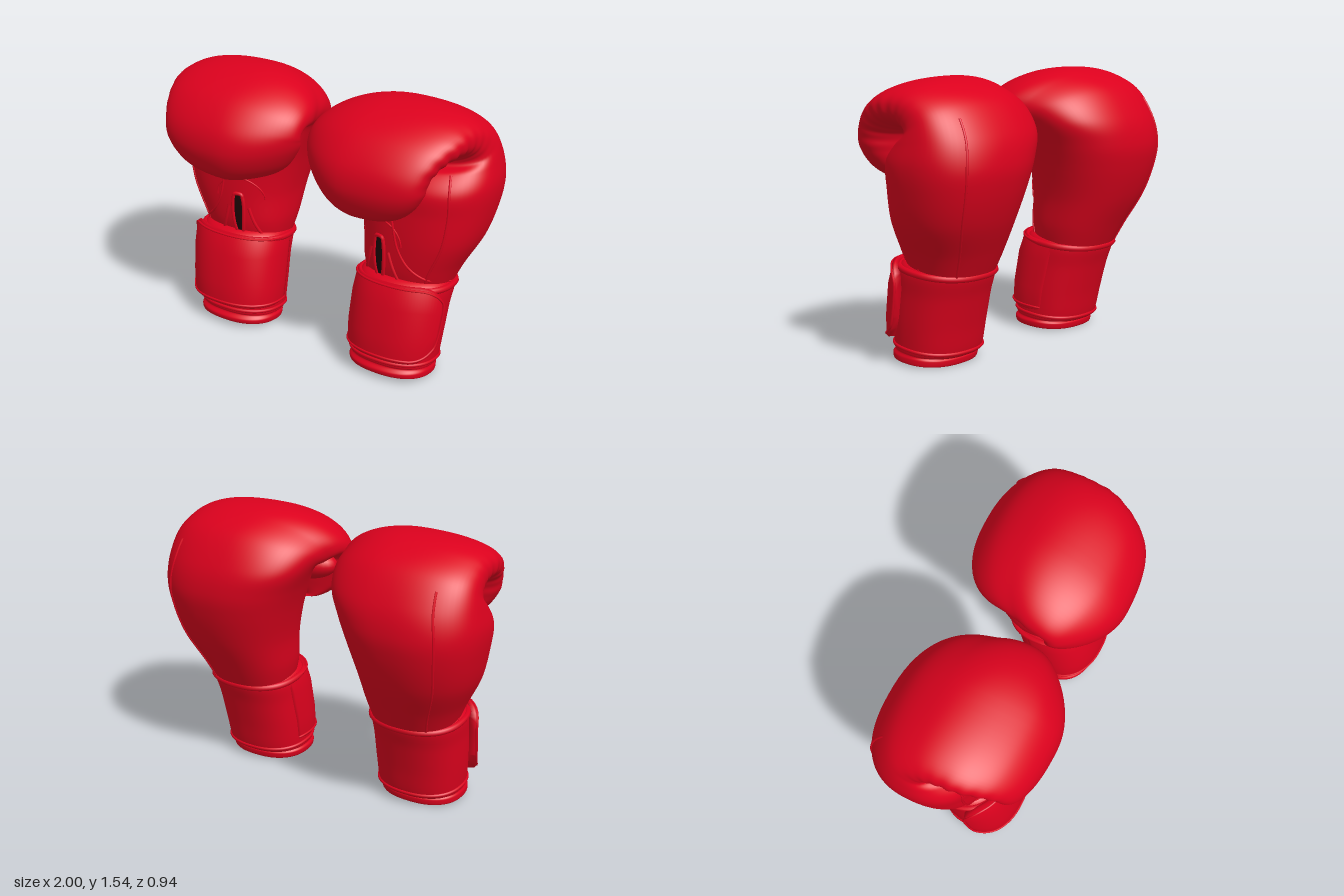
import * as THREE from 'three';

const red = new THREE.MeshStandardMaterial({ color: 0xdc011d });
red.name = 'red leather';
const dark = new THREE.MeshStandardMaterial({ color: 0x1c0607 });
dark.name = 'dark lining';

// Stations: [outer z, outer y, inner z, inner y, x inside, x outside]
const HAND = [
  [-.24, .50, .16, .54, .31, .79], [-.30, .62, .18, .64, .285, .84],
  [-.39, .80, .19, .80, .265, .93], [-.45, .98, .19, .97, .22, .98],
  [-.467, 1.12, .19, 1.11, .17, 1.0], [-.43, 1.27, .12, 1.20, .115, .985],
  [-.32, 1.43, .04, 1.21, .085, .965], [-.16, 1.515, .02, 1.23, .065, .95],
  [0, 1.54, .04, 1.25, .045, .94], [.17, 1.51, .10, 1.265, .035, .93],
  [.33, 1.43, .16, 1.25, .035, .89], [.44, 1.30, .19, 1.22, .04, .85],
  [.47, 1.17, .195, 1.15, .06, .82], [.435, 1.05, .195, 1.06, .14, .74],
  [.37, .985, .21, .99, .25, .62], [.30, .965, .27, .965, .39, .46],
];
const CUFF = [
  [0, .45, .04, .46, .54, .56], [-.12, .40, .15, .45, .36, .73], [-.05, .06, .25, .09, .325, .74],
  [-.085, .003, .285, .035, .295, .77], [-.095, .035, .295, .06, .285, .775],
  [-.085, .05, .275, .085, .295, .768], [-.125, .065, .288, .11, .285, .775],
  [-.16, .22, .28, .25, .28, .79], [-.20, .38, .26, .40, .285, .80],
  [-.235, .50, .22, .55, .29, .81], [-.20, .55, .14, .59, .34, .76],
];
// Centre of the curl, where the fist folds against the palm
const FOLD = { z: 0.10, y: 1.21 };

const { lerp, smoothstep, clamp } = THREE.MathUtils;
const rad = d => d * Math.PI / 180;
const pow = v => Math.sign(v) * Math.abs(v) ** 0.85;

function station(table, t) {
  const n = table.length - 1, i = Math.min(Math.max(Math.floor(t), 0), n - 1), f = t - i;
  const [a, b, c, d] = [i - 1, i, i + 1, i + 2].map(k => table[Math.min(Math.max(k, 0), n)]);
  return b.map((p1, k) => {
    const m0 = (c[k] - a[k]) / 2, m1 = (d[k] - p1) / 2, q = c[k] - p1;
    return p1 + f * (m0 + f * (3 * q - 2 * m0 - m1 + f * (m0 + m1 - 2 * q)));
  });
}

// Point on a swept skin; angle 0 = back, 90 = outside, 180 = palm, 270 = inside
function point(table, t, a) {
  const [zb, yb, zf, yf, x0, x1] = station(table, t);
  const c = pow(Math.cos(a)), s = pow(Math.sin(a));
  let x = (x0 + x1) / 2 + (x1 - x0) / 2 * s;
  let y = (yb + yf) / 2 + (yb - yf) / 2 * c, z = (zb + zf) / 2 + (zb - zf) / 2 * c;
  if (table === HAND) {
    // gathered creases around the curl
    const w = Math.exp(-(((t - 9.3) / 2) ** 2)) * Math.max(0, Math.cos(a - rad(125))) ** 3;
    x -= 0.013 * w * (0.5 + 0.5 * Math.sin(t * 10));
    // the inside of the fist rounds over towards the fold
    const pull = Math.max(0, -s) ** 2 * (0.35 * smoothstep(t, 4.4, 7) + 0.3 * smoothstep(t, 9, 12));
    z += (FOLD.z - (zb + zf) / 2) * pull;
    y += (FOLD.y - (yb + yf) / 2) * pull * (1 - smoothstep(t, 10.5, 13));
  }
  return new THREE.Vector3(x, y, z);
}

function lifted(table, t, a, lift) {
  const p = point(table, t, a), e = 0.01;
  const dt = point(table, t + e, a).sub(point(table, t - e, a));
  const da = point(table, t, a + e).sub(point(table, t, a - e));
  return p.addScaledVector(dt.cross(da).normalize(), lift);
}

// Palm point at a chosen x
function palm(t, x, lift) {
  const [, , , , x0, x1] = station(HAND, t);
  const s = clamp((2 * x - x0 - x1) / (x1 - x0), -1, 1);
  return lifted(HAND, t, Math.PI - Math.sign(s) * Math.asin(Math.abs(s) ** (1 / 0.85)), lift);
}

const steps = (n, fn) => Array.from({ length: n + 1 }, (_, i) => fn(i / n));

function buildGlove(side) {
  const glove = new THREE.Group();
  glove.name = side > 0 ? 'leftGlove' : 'rightGlove';

  function add(name, geometry, material = red) {
    const mesh = new THREE.Mesh(geometry, material);
    mesh.name = name;
    glove.add(mesh);
  }
  // Skin over closed loops of points
  function loft(name, loops, material) {
    const m = loops[0].length, pos = [], index = [];
    loops.flat().forEach(p => pos.push(p.x * side, p.y, p.z));
    const tri = (a, b, c) => side > 0 ? index.push(a, b, c) : index.push(a, c, b);
    for (let i = 0; i < loops.length - 1; i++) for (let j = 0; j < m; j++) {
      const k = (j + 1) % m, a = i * m, b = a + m;
      tri(a + j, b + j, a + k);
      tri(a + k, b + j, b + k);
    }
    const last = (loops.length - 1) * m;
    for (let j = 1; j < m - 1; j++) {
      tri(last, last + j + 1, last + j);
      tri(0, j, j + 1);
    }
    const g = new THREE.BufferGeometry();
    g.setAttribute('position', new THREE.Float32BufferAttribute(pos, 3));
    g.setIndex(index);
    g.computeVertexNormals();
    add(name, g, material);
  }
  function piping(name, points, r, closed = false) {
    const curve = new THREE.CatmullRomCurve3(points.map(p => new THREE.Vector3(p.x * side, p.y, p.z)), closed);
    add(name, new THREE.TubeGeometry(curve, 90, r, 7, closed));
  }
  const skin = (table, rows) => steps((table.length - 1) * rows, u =>
    steps(71, v => point(table, u * (table.length - 1), v * 71 / 72 * Math.PI * 2)));
  const ellipsoid = (name, r, c, material) => add(name,
    new THREE.SphereGeometry(1, 32, 20).scale(...r).translate(c[0] * side, c[1], c[2]), material);

  // Padded hand curling over into the fist, and the hollow wrist cuff
  loft('paddedHand', skin(HAND, 10));
  loft('wristCuff', skin(CUFF, 6));

  // Padding that closes the fold on the inside, and the dark lining deep in it
  ellipsoid('foldPadding', [0.22, 0.10, 0.12], [0.32, 1.20, 0.13]);
  ellipsoid('foldLining', [0.16, 0.05, 0.085], [0.56, 1.21, 0.11], dark);

  // Welts around the cuff
  const welt = (name, t, r) => piping(name, steps(40, u => point(CUFF, t, u * 40 / 41 * Math.PI * 2)), r, true);
  welt('cuffTopWelt', 9, 0.018);
  welt('cuffBottomWelt', 6.1, 0.01);

  // Wrist strap with a rounded flap on the outside
  const strapPoint = (u, v, lift) => {
    const round = Math.sqrt(Math.max(0, 1 - Math.max(0, (u - 0.8) / 0.2) ** 2));
    const half = 1.42 * (0.35 + 0.65 * round);
    return lifted(CUFF, 7.72 + half * v, rad(lerp(282, 104, u)), lift + 0.028 * u * u - 0.02 * (1 - u) ** 5);
  };
  const section = [[-1, -.02], [-1, .012], [-.93, .022], [-.4, .024], [.4, .024], [.93, .022], [1, .012], [1, -.02]];
  loft('wristStrap', steps(48, u => section.map(([v, l]) => strapPoint(u, v, l))));
  piping('strapEdge', [
    ...steps(30, u => strapPoint(u * 0.985, -0.9, 0.022)),
    ...steps(30, u => strapPoint((1 - u) * 0.985, 0.9, 0.022)),
  ], 0.007);

  // Leather seams on the back, outer panel and palm
  const seam = (name, t0, t1, a0, a1) =>
    piping(name, steps(24, u => lifted(HAND, lerp(t0, t1, u), rad(lerp(a0, a1, u)), 0)), 0.007);
  seam('backSeam', 0.1, 5.6, 37, 37);
  seam('outerPanelSeam', 0.5, 5, 138, 142);
  piping('palmPanelSeam', [[.3, .8], [.7, .74], [1.2, .66], [1.8, .60], [2.5, .57], [3.1, .55]]
    .map(([t, x]) => palm(t, x, 0.001)), 0.007);
  piping('palmArchSeam', steps(16, u =>
    palm(1.9 + 0.75 * Math.sin(u * Math.PI), 0.48 - 0.14 * Math.cos(u * Math.PI), 0)), 0.005);

  // Palm vent slot, narrowing towards the wrist, with a padded rim
  const slotWidth = u => lerp(0.016, 0.032, u) * Math.sin(Math.PI * lerp(0.04, 0.96, u)) ** 0.4;
  const slotT = u => lerp(0.35, 2.05, u);
  loft('palmVent', steps(20, u => [[1, -.004], [1, .004], [-1, .004], [-1, -.004]]
    .map(([k, l]) => palm(slotT(u), 0.48 + k * slotWidth(u), l))), dark);
  piping('palmVentRim', [
    ...steps(14, u => palm(slotT(u), 0.48 + slotWidth(u) + 0.008, 0.002)),
    ...steps(14, u => palm(slotT(1 - u), 0.48 - slotWidth(1 - u) - 0.008, 0.002)),
  ], 0.011, true);
  for (const k of [-1, 1])
    piping('palmFold', steps(8, u => palm(lerp(0.3, 1.6, u), 0.48 + k * lerp(0.12, 0.06, u), 0)), 0.01);

  return glove;
}

export function createModel() {
  const model = new THREE.Group();
  model.name = 'boxingGloves';
  model.add(buildGlove(1), buildGlove(-1));
  return model;
}
